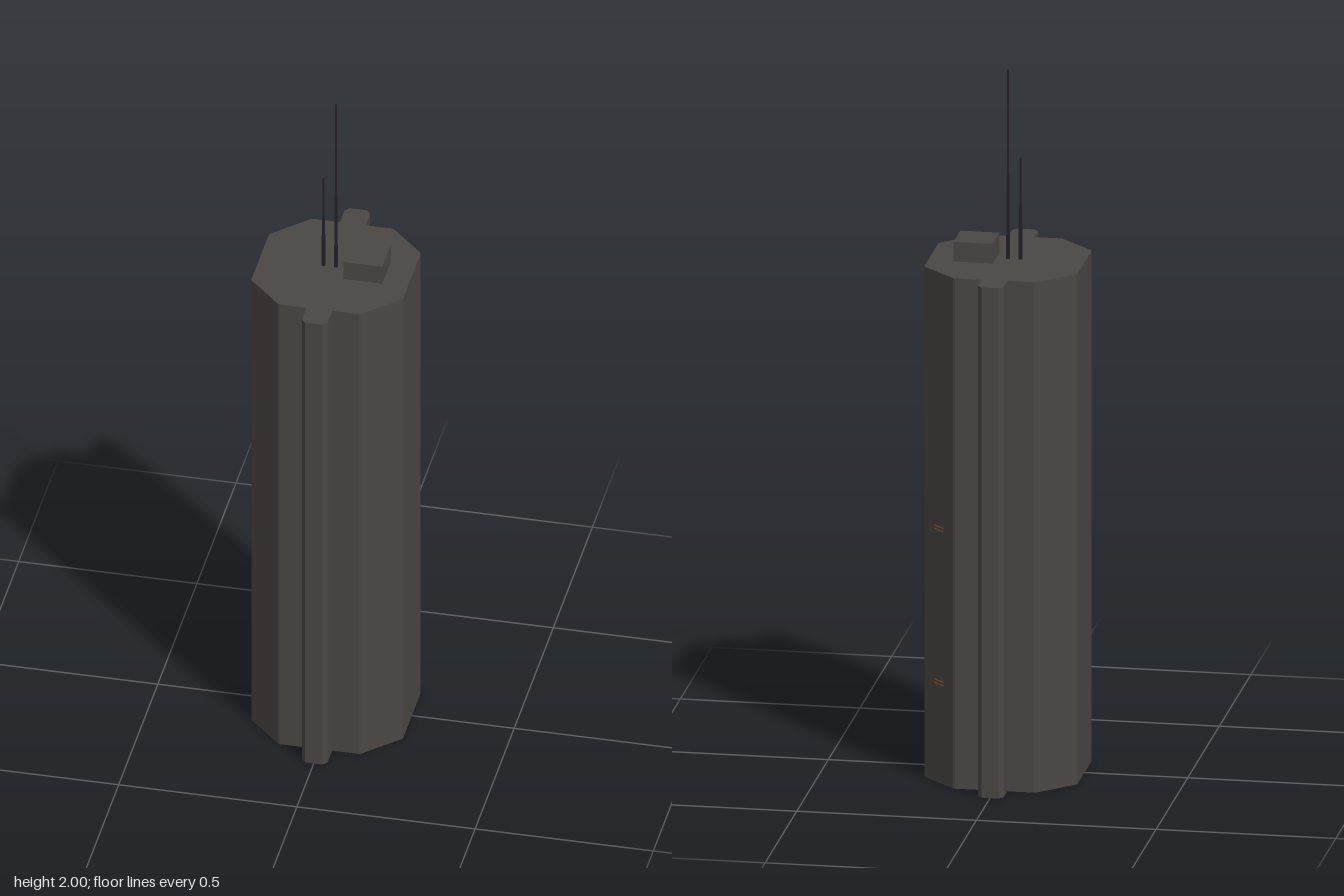
import * as THREE from 'three';

const mat = (name, color) => Object.assign(new THREE.MeshStandardMaterial({ color }), { name });

export function createModel() {
  const group = new THREE.Group();
  const concrete = mat('dark concrete', 0x4a4644);
  const metal = mat('antenna metal', 0x232126);
  const orange = mat('orange slit', 0x9a5a2c);
  const H = 1.46;

  const add = (name, geometry, material, x = 0, y = 0, z = 0, parent = group) => {
    const mesh = new THREE.Mesh(geometry, material);
    mesh.name = name;
    mesh.position.set(x, y, z);
    parent.add(mesh);
    return mesh;
  };

  // Plan: octagon with softened corners and a fin front and back
  const quarter = [
    [0.213, 0.11], [0.2105, 0.1165], [0.1165, 0.2105], [0.11, 0.213],
    [0.036, 0.213], [0.036, 0.271], [0.024, 0.285],
  ];
  const mirrored = [...quarter].reverse().map(([x, y]) => [-x, y]);
  const half = [...quarter, ...mirrored];
  const plan = [...half, ...half.map(([x, y]) => [-x, -y])];
  const shape = new THREE.Shape(plan.map(([x, y]) => new THREE.Vector2(x, y)));
  const tower = new THREE.ExtrudeGeometry(shape, { depth: H, bevelEnabled: false });
  tower.rotateX(-Math.PI / 2);
  add('tower', tower, concrete);

  // Roof plant room
  add('roofBox', new THREE.BoxGeometry(0.109, 0.056, 0.109), concrete, 0.0875, H + 0.028, 0);

  // Stepped square masts: [width, top height]
  const mast = (name, x, steps) => {
    const g = new THREE.Group();
    g.name = name;
    let y = H;
    for (const [w, top] of steps) {
      add('mastSection', new THREE.BoxGeometry(w, top - y, w), metal, x, (top + y) / 2, 0, g);
      y = top;
    }
    group.add(g);
  };
  mast('tallAntenna', 0, [[0.009, 1.53], [0.007, 1.7], [0.004, 2]]);
  mast('shortAntenna', -0.035, [[0.009, 1.56], [0.007, 1.62], [0.004, 1.75]]);

  // Thin paired slits on the back-left diagonal wall
  for (const y of [0.287, 0.727]) {
    for (const dy of [-0.005, 0.005]) {
      const slit = add('wallSlit', new THREE.BoxGeometry(0.045, 0.003, 0.002), orange, 0.1635, y + dy, -0.1635);
      slit.rotation.y = Math.PI * 0.75;
    }
  }
  return group;
}
